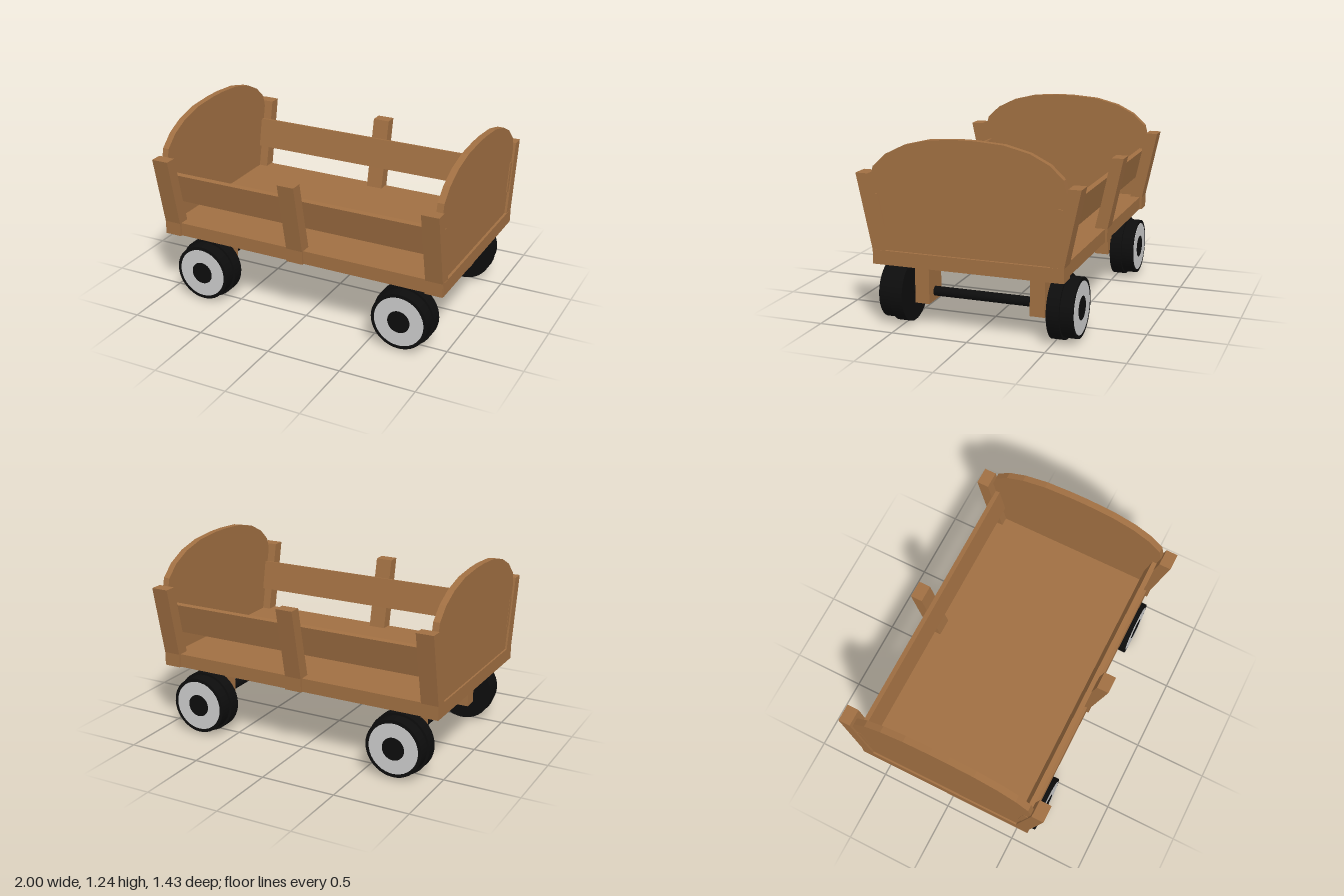
import * as THREE from 'three';

const wood = new THREE.MeshStandardMaterial({ color: 0xa06f42, flatShading: true });
const rubber = new THREE.MeshStandardMaterial({ color: 0x0d0d0d });
const metal = new THREE.MeshStandardMaterial({ color: 0xcccccc });

// Box given by its min and max corners
function box(name, [x0, y0, z0], [x1, y1, z1]) {
  const geo = new THREE.BoxGeometry(x1 - x0, y1 - y0, z1 - z0);
  geo.translate((x0 + x1) / 2, (y0 + y1) / 2, (z0 + z1) / 2);
  const mesh = new THREE.Mesh(geo, wood);
  mesh.name = name;
  return mesh;
}

// Profile of [z, y] points extruded along x from x0 to x1
function board(name, points, x0, x1) {
  const shape = new THREE.Shape(points.map(([z, y]) => new THREE.Vector2(z, y)));
  const geo = new THREE.ExtrudeGeometry(shape, { depth: x1 - x0, bevelEnabled: false });
  geo.rotateY(-Math.PI / 2).translate(x1, 0, 0);
  const mesh = new THREE.Mesh(geo, wood);
  mesh.name = name;
  return mesh;
}

// Cylinder along z from z0 to z1
function disc(name, radius, z0, z1, material) {
  const geo = new THREE.CylinderGeometry(radius, radius, z1 - z0, 40);
  geo.rotateX(Math.PI / 2).translate(0, 0, (z0 + z1) / 2);
  const mesh = new THREE.Mesh(geo, material);
  mesh.name = name;
  return mesh;
}

// Wheel facing +z, with its inner face at z = 0
function makeWheel() {
  const wheel = new THREE.Group();
  wheel.name = 'wheel';
  wheel.add(
    disc('tyre', 0.205, 0, 0.082, rubber),
    disc('outerTyre', 0.19, 0.08, 0.163, rubber),
    disc('rim', 0.167, 0.15, 0.165, metal),
    disc('hub', 0.075, 0.15, 0.167, rubber)
  );
  return wheel;
}

export function createModel() {
  const cart = new THREE.Group();
  cart.name = 'cart';

  cart.add(box('deck', [-1, 0.44, -0.6], [1, 0.53, 0.6]));

  // Leaning posts and the rails fixed to their inner faces
  const post = [[0.53, 0.44], [0.615, 0.44], [0.615, 0.53], [0.715, 1.005], [0.635, 1.005], [0.53, 0.53]];
  const rail = [[0.535, 0.682], [0.565, 0.677], [0.608, 0.876], [0.576, 0.882]];
  for (const side of [1, -1]) {
    const mirror = (pts) => pts.map(([z, y]) => [z * side, y]);
    const middle = side > 0 ? -0.075 : -0.055;
    for (const x of [-1, middle, 0.883]) cart.add(board('post', mirror(post), x, x + 0.115));
    cart.add(board('sideRail', mirror(rail), -0.99, 0.99));
  }

  // Arched end boards
  const half = [[0.525, 0.52], [0.625, 0.97], [0.605, 1.05], [0.52, 1.13], [0.4, 1.19], [0.24, 1.23], [0.06, 1.243]];
  const arch = [...half, ...half.map(([z, y]) => [-z, y]).reverse()];
  cart.add(board('endBoard', arch, 0.94, 0.983));
  cart.add(board('endBoard', arch, -0.988, -0.945));

  // Axles, hangers and wheels
  for (const x of [-0.72, 0.72]) {
    const axle = disc('axle', 0.031, -0.49, 0.475, rubber);
    axle.position.set(x, 0.21, 0);
    cart.add(axle);
    cart.add(box('axleHanger', [x - 0.095, 0.15, 0.325], [x + 0.095, 0.445, 0.42]));
    cart.add(box('axleHanger', [x - 0.095, 0.15, -0.438], [x + 0.095, 0.445, -0.342]));

    const front = makeWheel();
    front.position.set(x, 0.207, 0.463);
    const back = makeWheel();
    back.position.set(x, 0.207, -0.48);
    back.rotation.y = Math.PI;
    cart.add(front, back);
  }
  return cart;
}
